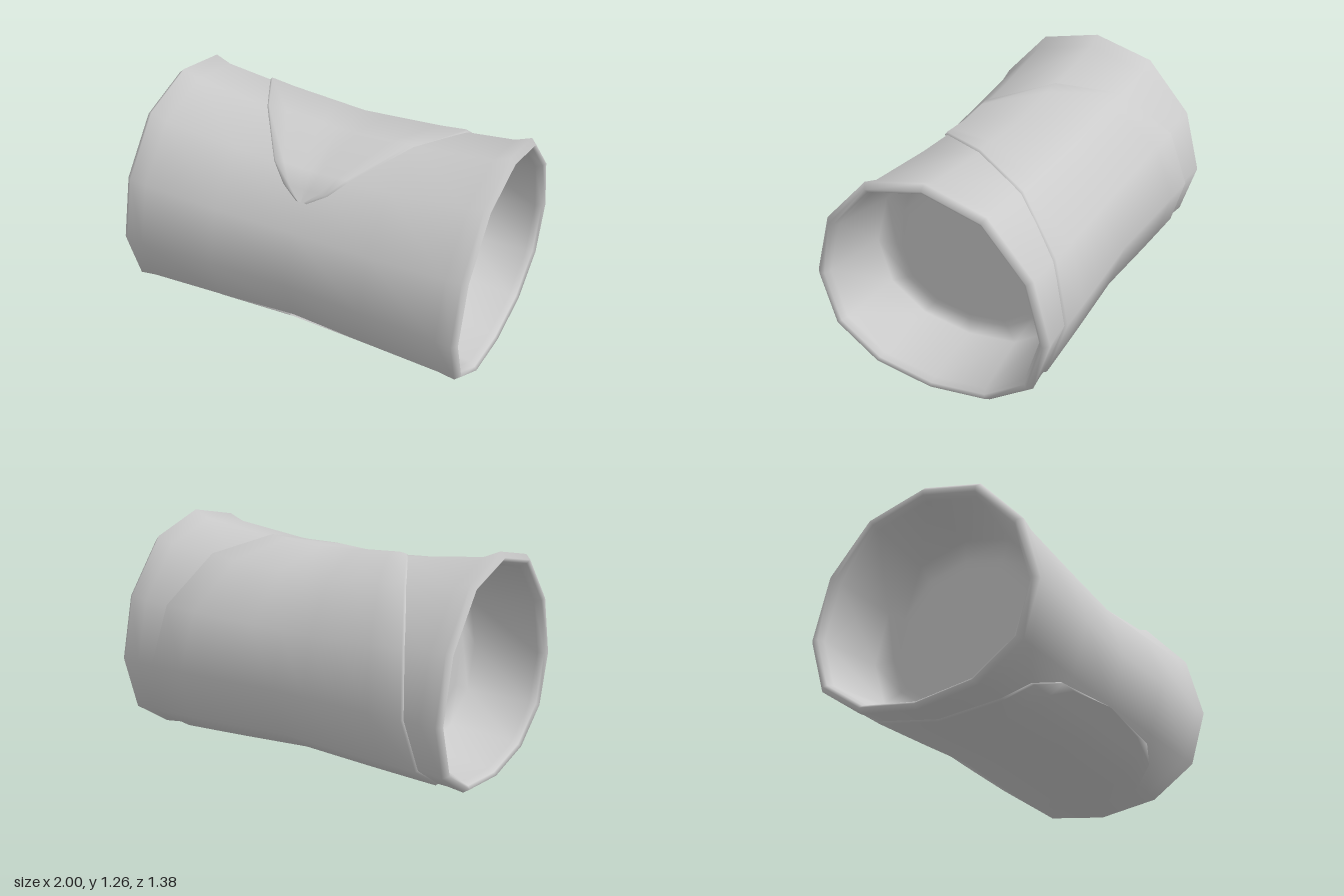
import * as THREE from 'three';

const SIDES = 12, MID = 0.53, HALF_DEPTH = 0.692;
// corner heights above or below MID, from the top corner down to the bottom one
const HEIGHTS = [0.73, 0.642, 0.357, 0, -0.303, -0.478, -0.53];

// outer wall stations: [x, depth scale, upper scale, lower scale]
const WALL = [
  [0, 0.93, 0.83, 0.9],
  [0.45, 0.962, 0.87, 0.945],
  [0.88, 0.985, 0.945, 0.98],
  [0.97, 1, 1, 1],
];
// lip, inner wall and softly shaded partition: [x, scale]
const INNER = [
  [1, 0.96], [0.985, 0.93], [0.95, 0.905], [0.585, 0.825], [0.57, 0.66], [0.57, 0.6], [0.57, 0],
].map(([x, s]) => [x, s, s, s]);

function corner(k, [x, sz, top, low]) {
  const j = ((k % SIDES) + SIDES) % SIDES;
  const h = HEIGHTS[j <= 6 ? j : SIDES - j];
  return new THREE.Vector3(x, MID + h * (h > 0 ? top : low), HALF_DEPTH * sz * Math.sin((j * Math.PI) / 6));
}

// point on the faceted section at fractional corner position u
function onSection(u, station) {
  const k = Math.floor(u);
  return corner(k, station).lerp(corner(k + 1, station), u - k);
}

// outer wall station at any x, raised by a small amount
function wallAt(x, raise) {
  const ax = Math.abs(x);
  let i = 0;
  while (i < WALL.length - 2 && ax > WALL[i + 1][0]) i++;
  const a = WALL[i], b = WALL[i + 1], t = (ax - a[0]) / (b[0] - a[0]);
  return [x, ...[1, 2, 3].map((n) => a[n] + (b[n] - a[n]) * t + raise)];
}

// smooth surface from rows of points; closed joins the last column to the first
function gridGeometry(rows, closed) {
  const n = rows[0].length, index = [];
  for (let i = 0; i < rows.length - 1; i++) {
    for (let k = 0; k < (closed ? n : n - 1); k++) {
      const a = i * n + k, b = i * n + ((k + 1) % n), c = a + n, d = b + n;
      index.push(a, c, b, b, c, d);
    }
  }
  const geometry = new THREE.BufferGeometry().setFromPoints(rows.flat());
  geometry.setIndex(index);
  geometry.computeVertexNormals();
  return geometry;
}

export function createModel() {
  const group = new THREE.Group();
  group.name = 'sleeve';
  const material = new THREE.MeshStandardMaterial({ color: 0xcccccc, side: THREE.DoubleSide });

  // tube with flared rims, and a partition closing each end's recess
  const half = [...INNER].reverse().concat([...WALL].reverse());
  const mirrored = half.slice(0, -1).reverse().map(([x, ...s]) => [-x, ...s]);
  const tubeRows = [...half, ...mirrored].map((station) =>
    Array.from({ length: SIDES }, (_, k) => corner(k, station)));
  const tube = new THREE.Mesh(gridGeometry(tubeRows, true), material);
  tube.name = 'tube';
  group.add(tube);

  // raised wrap over the top, back and bottom: [corner position, half width]
  const outline = [
    [-7.95, 0.02], [-7.8, 0.48], [-7.5, 0.65], [-7, 0.74], [-6, 0.78], [-5, 0.81], [-4, 0.82],
    [-3, 0.78], [-2, 0.73], [-1, 0.6], [0, 0.43], [1, 0.21], [1.3, 0.12], [1.5, 0.02],
  ];
  // the first and last rows slope the edge down into the tube: [share of width, shift, raise]
  const right = [[1, 0.012, -0.005], [1, 0, 0.02], [0.75, 0, 0.02], [0.5, 0, 0.02], [0.25, 0, 0.02]];
  const left = right.map(([t, dx, raise]) => [-t, -dx, raise]).reverse();
  const wrapRows = [...right, [0, 0, 0.02], ...left].map(([t, dx, raise]) =>
    outline.map(([u, w]) => onSection(u, wallAt(t * w + dx, raise))));
  const wrap = new THREE.Mesh(gridGeometry(wrapRows, false), material);
  wrap.name = 'wrap';
  group.add(wrap);

  return group;
}
